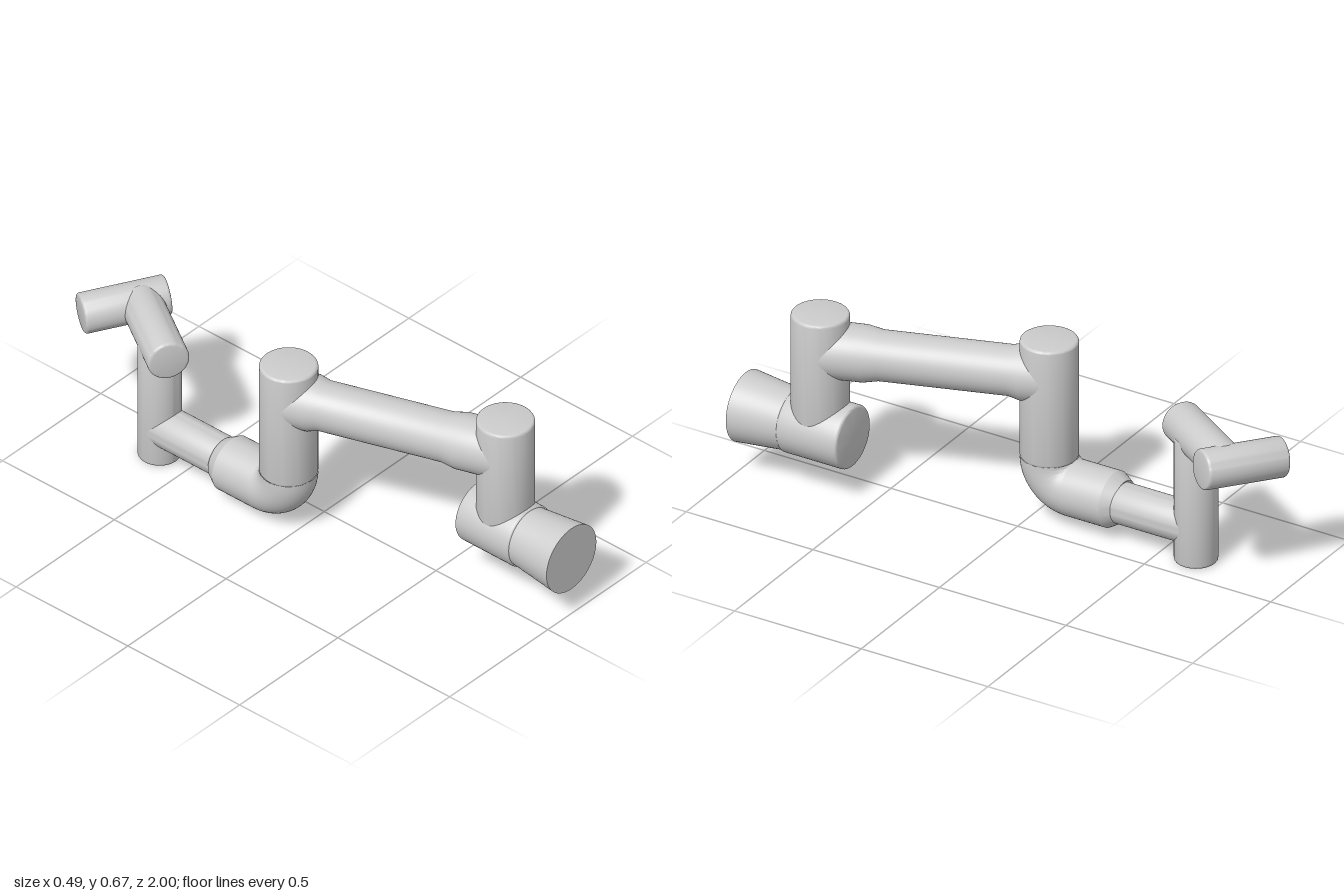
import * as THREE from 'three';
import { toCreasedNormals } from 'three/addons/utils/BufferGeometryUtils.js';

const V = (x, y, z) => new THREE.Vector3(x, y, z);

export function createModel() {
  const arm = new THREE.Group();
  arm.name = 'roboticArm';
  const material = new THREE.MeshStandardMaterial({ color: 0xcccccc });

  function add(name, geometry) {
    const mesh = new THREE.Mesh(toCreasedNormals(geometry, 0.5), material);
    mesh.name = name;
    arm.add(mesh);
    return mesh;
  }

  // Turned solid from a to b; profile lists [radius, distance from a]
  function turned(name, a, b, profile) {
    const points = profile.map(([r, d]) => new THREE.Vector2(r, d));
    const mesh = add(name, new THREE.LatheGeometry(points, 48));
    mesh.position.copy(a);
    mesh.quaternion.setFromUnitVectors(V(0, 1, 0), b.clone().sub(a).normalize());
    return mesh;
  }

  // Round housing with softly rounded rims
  function housing(name, a, b, r, rim = 0.01) {
    const length = a.distanceTo(b), profile = [[0, 0]];
    for (let i = 0; i <= 4; i++) {
      const t = i * Math.PI / 8;
      profile.push([r - rim + rim * Math.sin(t), rim - rim * Math.cos(t)]);
    }
    const far = profile.map(([x, d]) => [x, length - d]).reverse();
    turned(name, a, b, [...profile, ...far]);
  }

  // Flared base and its joint housing
  turned('baseFlare', V(0.12, 0.23, 1), V(0.12, 0.23, 0.78),
    [[0, 0], [0.127, 0], [0.106, 0.2], [0.106, 0.22], [0, 0.22]]);
  housing('baseJoint', V(0.12, 0.23, 0.815), V(0.12, 0.23, 0.575), 0.113);

  // Shoulder post
  housing('shoulder', V(0.12, 0.23, 0.705), V(0.12, 0.672, 0.705), 0.1);

  // Upper arm tube with a collar at each end
  const shoulderEnd = V(0.12, 0.535, 0.705), elbowEnd = V(-0.13, 0.535, -0.045);
  const length = shoulderEnd.distanceTo(elbowEnd);
  turned('upperArm', shoulderEnd, elbowEnd, [
    [0, 0], [0.099, 0], [0.099, 0.155], [0.088, 0.21],
    [0.088, length - 0.13], [0.099, length - 0.09], [0.099, length], [0, length],
  ]);

  // Elbow post, quarter bend and forearm collar
  housing('elbowPost', V(-0.13, 0.225, -0.045), V(-0.13, 0.672, -0.045), 0.1, 0.01);
  const bend = new THREE.TorusGeometry(0.1, 0.1, 48, 20, Math.PI / 2);
  bend.applyMatrix4(new THREE.Matrix4().makeBasis(V(0, 0, 1), V(0, -1, 0), V(1, 0, 0)));
  add('elbowBend', bend).position.set(-0.13, 0.23, -0.145);
  turned('forearmCollar', V(-0.13, 0.13, -0.14), V(-0.13, 0.13, -0.34),
    [[0, 0], [0.1, 0], [0.1, 0.16], [0.076, 0.2], [0, 0.2]]);

  // Forearm and the three wrist housings
  housing('forearm', V(-0.123, 0.13, -0.3), V(-0.123, 0.13, -0.63), 0.073);
  housing('firstWrist', V(-0.121, 0, -0.63), V(-0.121, 0.475, -0.63), 0.075);
  housing('secondWrist', V(-0.187, 0.473, -0.53), V(0.001, 0.475, -0.822), 0.073);
  housing('thirdWrist', V(-0.17, 0.462, -0.94), V(0.083, 0.481, -0.775), 0.071);

  return arm;
}
